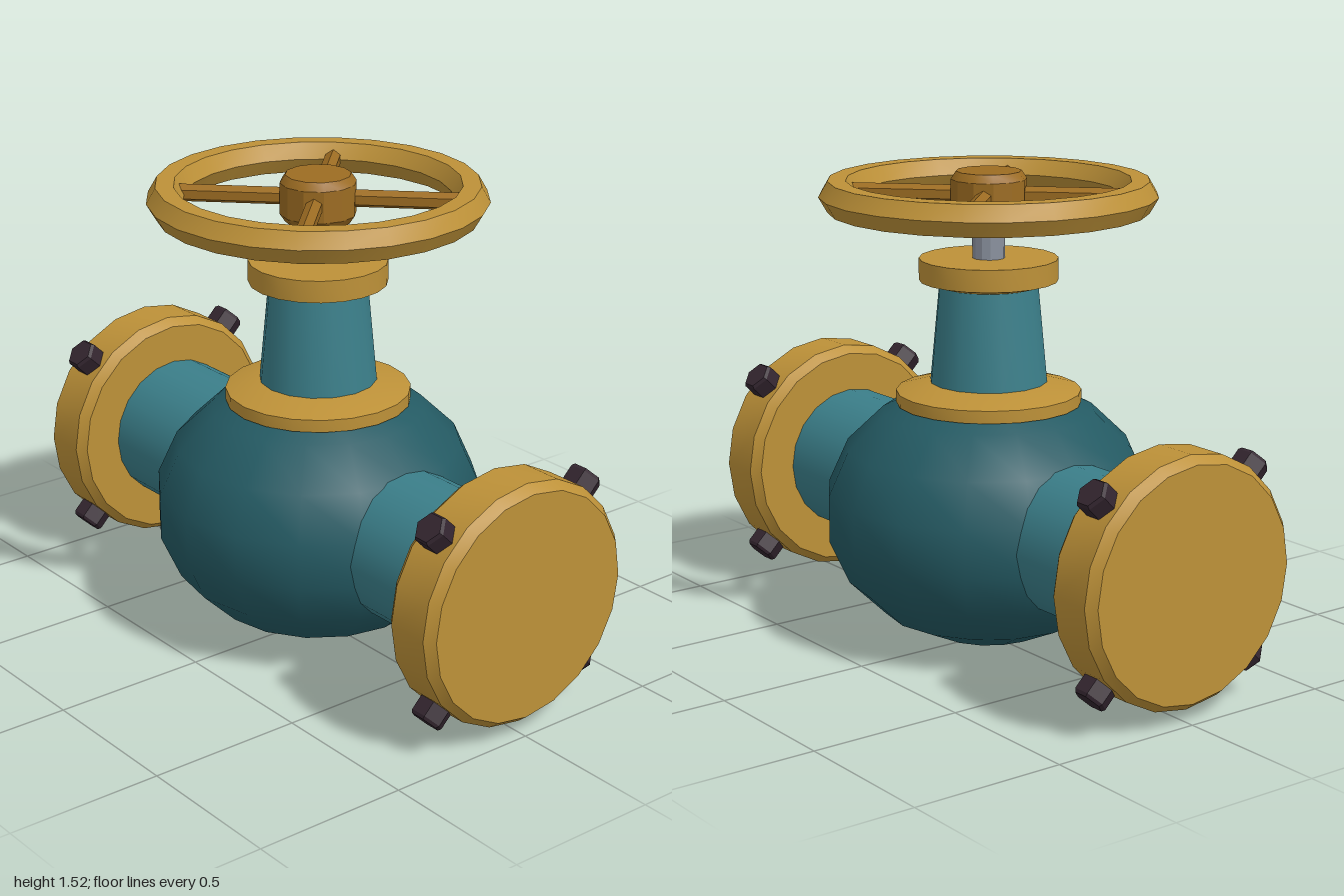
import * as THREE from 'three';
import { toCreasedNormals } from 'three/addons/utils/BufferGeometryUtils.js';

const material = (name, color) => {
  const m = new THREE.MeshStandardMaterial({ color });
  m.name = name;
  return m;
};

// Closed turned part from [radius, height] pairs, bottom to top
function turned(profile, sides) {
  const points = profile.map(([r, y]) => new THREE.Vector2(r, y));
  return toCreasedNormals(new THREE.LatheGeometry(points, sides), 0.5);
}

export function createModel() {
  const bodyTeal = material('dark teal', 0x245a63);
  const pipeTeal = material('teal', 0x3b7f8a);
  const gold = material('gold', 0xbd9138);
  const bronze = material('bronze', 0x9c6c22);
  const steel = material('steel', 0x8a919e);
  const boltDark = material('dark bolt', 0x33252f);

  const model = new THREE.Group();
  model.name = 'gateValve';
  const add = (name, geometry, mat, parent = model) => {
    const mesh = new THREE.Mesh(geometry, mat);
    mesh.name = name;
    parent.add(mesh);
    return mesh;
  };
  const axisY = 0.435;

  // Round body and the pipe through it
  const body = add('body', new THREE.SphereGeometry(0.53, 16, 9), bodyTeal);
  body.scale.y = 0.43 / 0.53;
  body.position.y = axisY;
  const pipe = add('pipe', new THREE.CylinderGeometry(0.238, 0.238, 1.64, 20), pipeTeal);
  pipe.rotation.z = Math.PI / 2;
  pipe.position.y = axisY;

  // End flanges with four radial bolts each
  const flangeGeo = turned([[0, -0.1], [0.365, -0.1], [0.39, -0.07], [0.39, 0.07], [0.365, 0.1], [0, 0.1]], 20);
  flangeGeo.rotateZ(-Math.PI / 2);
  const boltGeo = turned([[0, 0.35], [0.055, 0.35], [0.055, 0.435], [0.048, 0.445], [0, 0.445]], 6);
  boltGeo.rotateY(Math.PI / 6); // corners point along the pipe
  for (const side of [-1, 1]) {
    const end = new THREE.Group();
    end.name = side > 0 ? 'leftEnd' : 'rightEnd';
    end.position.set(side * 0.9, axisY, 0);
    model.add(end);
    add('flange', flangeGeo, gold, end);
    for (let i = 0; i < 4; i++) {
      add('bolt', boltGeo, boltDark, end).rotation.x = Math.PI / 4 + i * Math.PI / 2;
    }
  }

  // Bonnet: collar, tapered neck, gland and stem
  add('collar', turned([[0, 0.79], [0.295, 0.79], [0.295, 0.83], [0.19, 0.86], [0, 0.86]], 20), gold);
  add('neck', turned([[0, 0.83], [0.19, 0.83], [0.157, 1.18], [0, 1.18]], 16), pipeTeal);
  add('gland', turned([[0, 1.168], [0.16, 1.168], [0.22, 1.185], [0.22, 1.255], [0, 1.255]], 20), gold);
  add('stem', turned([[0, 1.24], [0.052, 1.24], [0.052, 1.4], [0, 1.4]], 12), steel);

  // Handwheel: rim, hub and four spokes
  const wheel = new THREE.Group();
  wheel.name = 'handwheel';
  wheel.position.y = 1.455;
  model.add(wheel);
  const rim = toCreasedNormals(new THREE.TorusGeometry(0.475, 0.057, 6, 24), 0.5);
  rim.rotateX(Math.PI / 2);
  add('rim', rim, gold, wheel);
  add('hub', turned([[0, -0.075], [0.103, -0.075], [0.12, -0.05], [0.12, 0.05], [0.103, 0.075], [0, 0.075]], 12), bronze, wheel);
  const spoke = turned([[0.028, 0.08], [0.028, 0.45]], 6);
  spoke.rotateX(Math.PI / 2);
  for (let i = 0; i < 4; i++) {
    add('spoke', spoke, bronze, wheel).rotation.y = Math.PI / 4 + i * Math.PI / 2;
  }
  return model;
}
